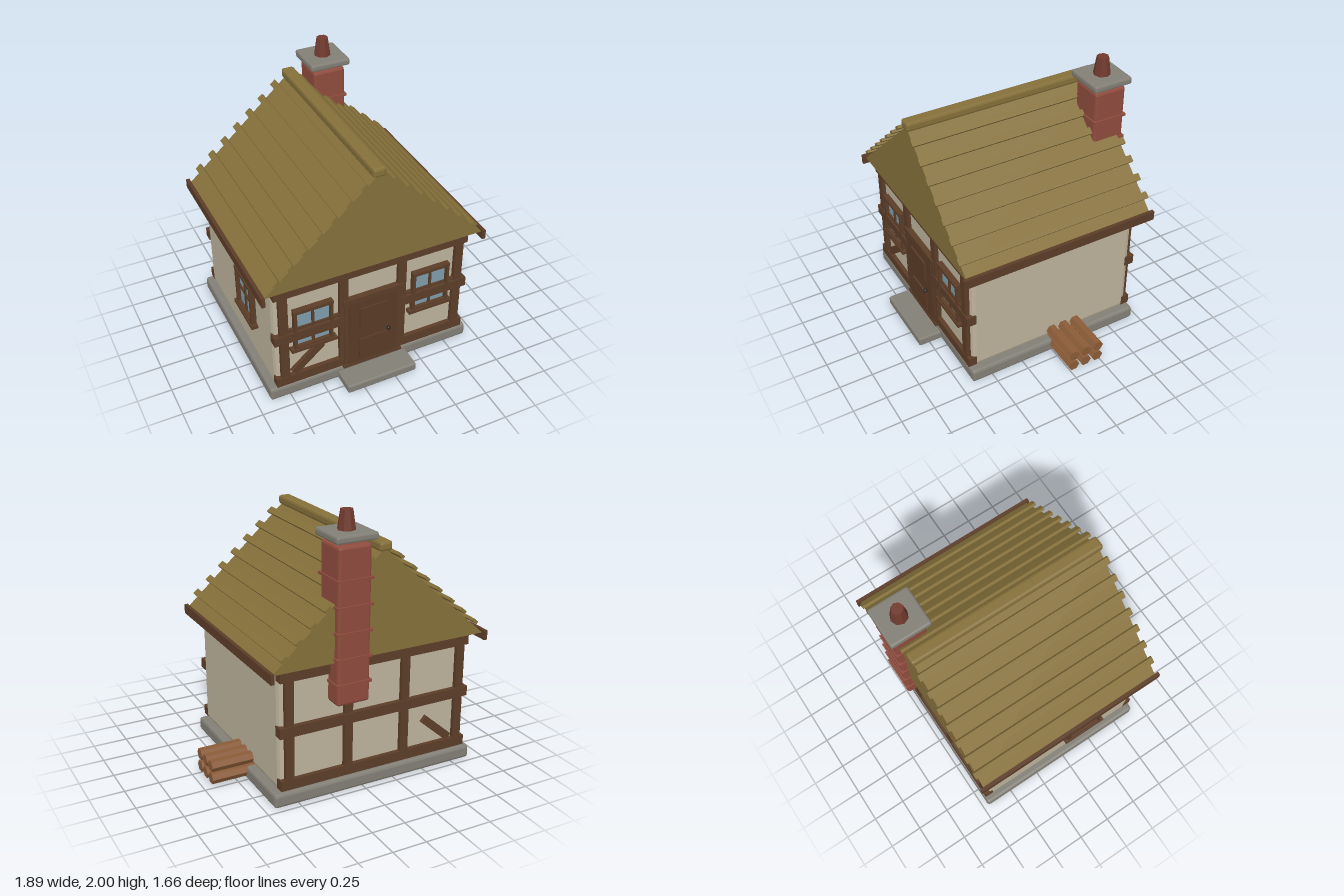
import * as THREE from 'three';
import { RoundedBoxGeometry } from 'three/addons/geometries/RoundedBoxGeometry.js';

const mat = (color) => new THREE.MeshStandardMaterial({ color, flatShading: true });
const M = {
  stone: mat(0x827f76), plaster: mat(0xbdb29c), timber: mat(0x5c3d28), door: mat(0x5a3a25),
  thatch: mat(0x85703a), brick: mat(0x8f4c3d), pot: mat(0x713a2e), log: mat(0x8a5c38),
  glass: mat(0x7d9eac), iron: mat(0x2a2724),
};
const CX = -0.11, CZ = -0.025; // centre of the house body

function add(parent, name, geometry, material, x = 0, y = 0, z = 0) {
  const mesh = new THREE.Mesh(geometry, material);
  mesh.name = name;
  mesh.position.set(x, y, z);
  parent.add(mesh);
  return mesh;
}

// Box given by its min and max on each axis; a bevel chamfers the edges
function block(parent, name, material, [x0, x1], [y0, y1], [z0, z1], bevel = 0) {
  const size = [x1 - x0, y1 - y0, z1 - z0];
  const geo = bevel ? new RoundedBoxGeometry(...size, 1, bevel) : new THREE.BoxGeometry(...size);
  return add(parent, name, geo, material, (x0 + x1) / 2, (y0 + y1) / 2, (z0 + z1) / 2);
}

function group(parent, name) {
  const g = new THREE.Group();
  g.name = name;
  parent.add(g);
  return g;
}

// Timber frame of one gable wall, in front of z = 0
function timberFrame(parent, name) {
  const g = group(parent, name);
  for (const x of [-0.782, -0.335, 0.115, 0.568])
    block(g, 'post', M.timber, [x - 0.032, x + 0.032], [0.12, 0.98], [-0.035, 0.03]);
  for (const [y, ext, out] of [[0.155, 0.74, 0.032], [0.548, 0.747, 0.037], [0.945, 0.74, 0.032]])
    block(g, 'rail', M.timber, [CX - ext, CX + ext], [y - 0.037, y + 0.037], [-0.035, out]);
  const brace = add(g, 'brace', new THREE.BoxGeometry(0.29, 0.06, 0.045), M.timber, -0.61, 0.3, 0.005);
  brace.rotation.z = 0.72;
  return g;
}

// Four-pane window facing +z, origin at wall surface and mid height
function window4(parent, name, muntinHalf) {
  const g = group(parent, name);
  block(g, 'glass', M.glass, [-0.13, 0.13], [-0.155, 0.155], [-0.01, 0.012]);
  for (const s of [-1, 1])
    add(g, 'frameSide', new THREE.BoxGeometry(0.022, 0.335, 0.05), M.timber, s * 0.134, 0, 0.015);
  block(g, 'frameTop', M.timber, [-0.147, 0.147], [0.143, 0.168], [-0.01, 0.043]);
  block(g, 'frameBottom', M.timber, [-0.145, 0.145], [-0.168, -0.15], [-0.01, 0.04]);
  block(g, 'sill', M.timber, [-0.172, 0.172], [-0.19, -0.165], [-0.01, 0.05]);
  block(g, 'mullion', M.timber, [-0.009, 0.009], [-0.155, 0.155], [-0.01, 0.025]);
  block(g, 'muntin', M.timber, [-muntinHalf, muntinHalf], [-0.01, 0.009], [-0.01, 0.024]);
  return g;
}

function buildRoof(parent) {
  const g = group(parent, 'roof');
  const half = 0.82, base = 1.0, apex = 1.73;
  const gable = new THREE.Shape([
    new THREE.Vector2(-half, base), new THREE.Vector2(half, base), new THREE.Vector2(0, apex)]);
  add(g, 'thatch', new THREE.ExtrudeGeometry(gable, { depth: 1.46, bevelEnabled: false }),
    M.thatch, CX + 0.005, 0, CZ - 0.73);
  // Battens along both slopes, and a fascia at each eave
  for (const s of [-1, 1]) {
    for (let i = 0; i < 7; i++) {
      const batten = add(g, 'batten', new THREE.BoxGeometry(0.05, 0.022, 1.5), M.thatch,
        CX + 0.005 + s * (0.738 - i * 0.104), 1.105 + i * 0.0935, CZ);
      batten.rotation.z = -s * 0.7;
    }
    add(g, 'fascia', new THREE.BoxGeometry(0.026, 0.07, 1.51), M.timber, CX + s * 0.828, 0.985, CZ);
  }
  block(g, 'ridge', M.thatch, [-0.155, -0.06], [1.708, 1.776], [CZ - 0.745, CZ + 0.745], 0.018);
}

function buildChimney(parent) {
  const g = group(parent, 'chimney');
  g.position.set(0.138, 0, -0.678);
  block(g, 'stack', M.brick, [-0.122, 0.122], [0.7, 1.79], [-0.122, 0.122], 0.018);
  for (let i = 0; i < 5; i++)
    add(g, 'brickBand', new THREE.BoxGeometry(0.264, 0.018, 0.264), M.brick, 0, 0.85 + i * 0.1785, 0);
  block(g, 'cap', M.stone, [-0.152, 0.152], [1.815, 1.867], [-0.152, 0.152], 0.014);
  add(g, 'pot', new THREE.CylinderGeometry(0.043, 0.064, 0.145, 8), M.pot, 0, 1.9275, 0);
}

function buildDoor(parent) {
  const g = group(parent, 'door');
  block(g, 'doorLeaf', M.door, [-0.3, 0.08], [0.1, 0.68], [0.6, 0.675]);
  for (const s of [-1, 1])
    add(g, 'jamb', new THREE.BoxGeometry(0.035, 0.6, 0.07), M.timber, CX + s * 0.208, 0.4, 0.634);
  block(g, 'lintel', M.timber, [-0.342, 0.122], [0.68, 0.722], [0.6, 0.678]);
  block(g, 'threshold', M.timber, [-0.342, 0.122], [0.092, 0.116], [0.6, 0.678]);
  for (const [y0, y1] of [[0.45, 0.62], [0.16, 0.335]])
    block(g, 'panel', M.door, [-0.22, 0.0], [y0, y1], [0.66, 0.688]);
  add(g, 'knob', new THREE.SphereGeometry(0.016, 8, 6), M.iron, 0.003, 0.362, 0.69);
}

export function createModel() {
  const house = new THREE.Group();
  house.name = 'cottage';

  // Base and walls
  block(house, 'foundation', M.stone, [-0.9, 0.68], [0, 0.1], [-0.71, 0.66], 0.02);
  block(house, 'doorStep', M.stone, [-0.38, 0.165], [0, 0.065], [0.5, 0.833], 0.012);
  block(house, 'walls', M.plaster, [-0.85, 0.63], [0.1, 1.01], [-0.67, 0.635], 0.035);

  // Front and mirrored-depth back timber frames
  timberFrame(house, 'frontFrame').position.z = 0.635;
  const back = timberFrame(house, 'backFrame');
  back.position.set(2 * CX, 0, -0.67);
  back.rotation.y = Math.PI;
  const backBrace = back.getObjectByName('brace');
  backBrace.position.x = 2 * CX + 0.61;
  backBrace.rotation.z *= -1;

  buildDoor(house);

  // Windows
  window4(house, 'frontRightWindow', 0.21).position.set(-0.565, 0.602, 0.635);
  window4(house, 'frontLeftWindow', 0.21).position.set(0.345, 0.602, 0.635);
  const side = window4(house, 'sideWindow', 0.13);
  side.position.set(-0.85, 0.602, 0.17);
  side.rotation.y = -Math.PI / 2;

  buildRoof(house);
  buildChimney(house);

  // Stacked firewood on the left side
  const pile = group(house, 'firewood');
  for (let row = 0; row < 2; row++)
    for (let i = 0; i < 3; i++) {
      const log = add(pile, 'log', new THREE.CylinderGeometry(0.044, 0.044, 0.42, 6), M.log,
        0.732, 0.064 + row * 0.094, -0.018 - i * 0.099);
      log.rotation.z = Math.PI / 2;
    }
  return house;
}
